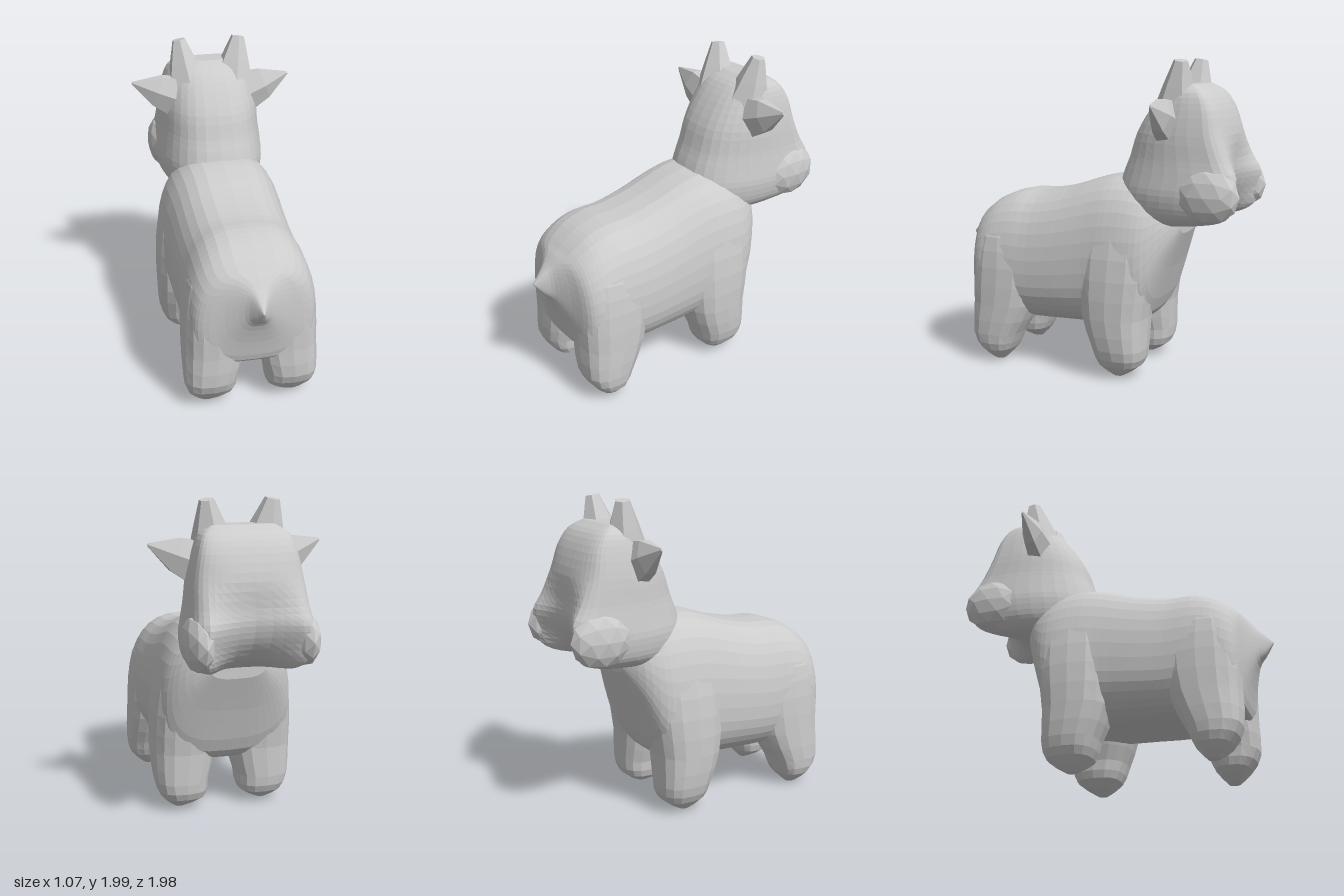
import * as THREE from 'three';

const material = new THREE.MeshStandardMaterial({ color: 0xcccccc, flatShading: true });
const power = (v, p) => Math.sign(v) * Math.abs(v) ** p;

// Smoothly subdivide a list of cross-section stations
function subdivide(stations, steps) {
  const size = stations[0].length;
  const curve = new THREE.CubicInterpolant(stations.map((_, i) => i), stations.flat(), size, new Float32Array(size));
  const count = (stations.length - 1) * steps;
  return Array.from({ length: count + 1 }, (_, i) => Array.from(curve.evaluate(i / steps)));
}

// Skin the cross-sections, closing both ends with a fan
function loft(name, stations, steps, sides, point) {
  const rows = subdivide(stations, steps);
  const positions = [], index = [];
  for (const row of rows) {
    for (let j = 0; j < sides; j++) {
      const a = (j / sides) * Math.PI * 2;
      positions.push(...point(row, Math.cos(a), Math.sin(a)));
    }
  }
  for (let i = 0; i < rows.length - 1; i++) {
    for (let j = 0; j < sides; j++) {
      const k = (j + 1) % sides;
      const a = i * sides + j, b = i * sides + k;
      index.push(a, b, a + sides, b, b + sides, a + sides);
    }
  }
  for (const end of [0, rows.length - 1]) {
    const centre = [0, 0, 0];
    for (let j = 0; j < sides; j++) {
      for (let c = 0; c < 3; c++) centre[c] += positions[(end * sides + j) * 3 + c] / sides;
    }
    const hub = positions.length / 3;
    positions.push(...centre);
    for (let j = 0; j < sides; j++) {
      const a = end * sides + j, b = end * sides + (j + 1) % sides;
      if (end === 0) index.push(hub, b, a);
      else index.push(hub, a, b);
    }
  }
  const geometry = new THREE.BufferGeometry();
  geometry.setAttribute('position', new THREE.Float32BufferAttribute(positions, 3));
  geometry.setIndex(index);
  geometry.computeVertexNormals();
  const mesh = new THREE.Mesh(geometry, material);
  mesh.name = name;
  return mesh;
}

// Faceted spike between two points: radii at base, middle and tip, flattened in depth
function spike(name, from, to, radii, flatness) {
  const a = new THREE.Vector3(...from), axis = new THREE.Vector3(...to).sub(a);
  const length = axis.length();
  const profile = radii.map((r, i) => new THREE.Vector2(r, (length * i) / (radii.length - 1)));
  profile.push(new THREE.Vector2(0, length));
  const geometry = new THREE.LatheGeometry(profile, 6);
  geometry.scale(1, 1, flatness);
  const mesh = new THREE.Mesh(geometry, material);
  mesh.quaternion.setFromUnitVectors(new THREE.Vector3(0, 1, 0), axis.normalize());
  mesh.position.copy(a);
  mesh.name = name;
  return mesh;
}

export function createModel() {
  const model = new THREE.Group();
  model.name = 'hornedAnimal';

  // Torso from chest to pointed tail: z, bottom, top, half width
  const torso = [
    [-0.57, 0.92, 1.08, 0.17],
    [-0.49, 0.7, 1.17, 0.31],
    [-0.39, 0.41, 1.23, 0.4],
    [-0.28, 0.33, 1.27, 0.425],
    [-0.14, 0.31, 1.275, 0.425],
    [0, 0.3, 1.245, 0.415],
    [0.2, 0.295, 1.18, 0.41],
    [0.4, 0.29, 1.14, 0.405],
    [0.55, 0.31, 1.135, 0.405],
    [0.68, 0.34, 1.095, 0.4],
    [0.77, 0.35, 1.035, 0.38],
    [0.82, 0.37, 0.99, 0.33],
    [0.855, 0.52, 0.96, 0.2],
    [0.9, 0.66, 0.91, 0.09],
    [0.95, 0.72, 0.86, 0.04],
    [1.0, 0.795, 0.805, 0.005],
  ];
  model.add(loft('torso', torso, 3, 36, ([z, bottom, top, w], c, s) => {
    const middle = bottom + (top - bottom) * 0.4;
    const y = s > 0 ? middle + (top - middle) * s : middle + (middle - bottom) * power(s, 0.8);
    return [w * power(c, 0.65), y, z];
  }));

  // Neck and head, hollowed between the cheeks: y, back z, front z, half width, hollow
  const head = [
    [0.99, -0.2, -0.62, 0.24, 0.05],
    [1.02, -0.14, -0.84, 0.3, 0.2],
    [1.08, -0.13, -0.96, 0.35, 0.22],
    [1.19, -0.13, -0.99, 0.37, 0.16],
    [1.3, -0.16, -1.0, 0.36, 0.13],
    [1.4, -0.2, -0.94, 0.345, 0.07],
    [1.55, -0.25, -0.87, 0.33, 0],
    [1.7, -0.34, -0.82, 0.3, 0],
    [1.8, -0.43, -0.75, 0.26, 0],
    [1.85, -0.52, -0.66, 0.19, 0],
  ];
  model.add(loft('neckAndHead', head, 3, 36, ([y, back, front, w, hollow], c, s) => {
    const middle = back + (front - back) * 0.65;
    const x = w * power(c, 0.75);
    if (s <= 0) return [x, y, middle - (back - middle) * s];
    const dent = hollow * Math.max(0, 1 - (x / (w * 0.8)) ** 2);
    return [x, y, middle + (front - middle) * power(s, 0.42) + dent];
  }));

  // Stubby legs: y, inner x, outer x, front z, back z
  const frontLeg = [
    [0.01, 0.25, 0.31, -0.24, -0.18],
    [0.09, 0.12, 0.4, -0.36, -0.08],
    [0.2, 0.1, 0.44, -0.39, -0.04],
    [0.4, 0.05, 0.455, -0.395, 0.03],
    [0.65, 0.05, 0.45, -0.43, 0.05],
    [0.9, 0.08, 0.41, -0.43, 0.03],
    [1.02, 0.14, 0.34, -0.37, -0.06],
  ];
  const hindLeg = [
    [0.01, 0.24, 0.31, 0.62, 0.69],
    [0.09, 0.11, 0.4, 0.55, 0.77],
    [0.2, 0.09, 0.425, 0.5, 0.83],
    [0.4, 0.04, 0.425, 0.4, 0.835],
    [0.65, 0.04, 0.415, 0.36, 0.835],
    [0.85, 0.08, 0.38, 0.42, 0.79],
    [0.95, 0.12, 0.32, 0.48, 0.7],
  ];

  for (const [side, label] of [[1, 'Left'], [-1, 'Right']]) {
    for (const [name, leg] of [['frontLeg', frontLeg], ['hindLeg', hindLeg]]) {
      model.add(loft(name + label, leg, 2, 16, ([y, inner, outer, z0, z1], c, s) => [
        side * (inner + outer) / 2 + power(c, 0.75) * (outer - inner) / 2,
        y,
        (z0 + z1) / 2 - power(s, 0.75) * (z1 - z0) / 2,
      ]));
    }
    // Faceted cheeks at the corners of the muzzle
    const cheek = new THREE.Mesh(new THREE.IcosahedronGeometry(1, 1), material);
    cheek.name = 'cheek' + label;
    cheek.scale.set(0.09, 0.17, 0.2);
    cheek.position.set(side * 0.315, 1.2, -0.78);
    model.add(cheek);
    // Horns and outspread ears
    model.add(spike('horn' + label, [side * 0.15, 1.68, -0.53], [side * 0.2, 1.99, -0.57], [0.15, 0.1, 0.045], 1));
    model.add(spike('ear' + label, [side * 0.2, 1.61, -0.5], [side * 0.53, 1.735, -0.5], [0.16, 0.115, 0.01], 0.6));
  }
  return model;
}
